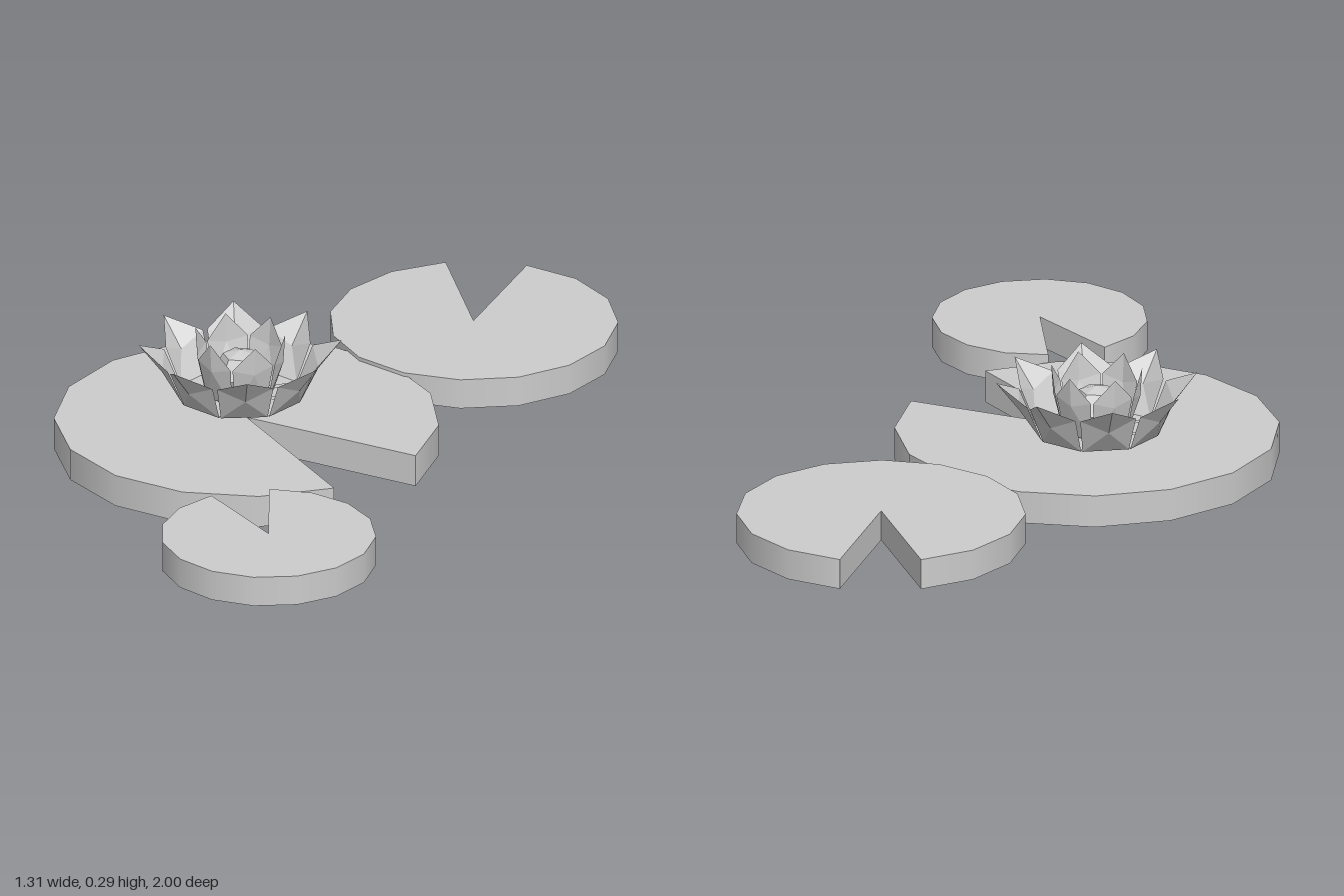
import * as THREE from 'three';

const grey = new THREE.MeshStandardMaterial({ color: 0xcccccc, side: THREE.DoubleSide });
grey.name = 'pale grey';

function mesh(name, geometry) {
  const m = new THREE.Mesh(geometry, grey);
  m.name = name;
  return m;
}

// Round floating leaf with a wedge cut out; start is the angle where the arc begins
function lilyPad(name, x, y, z, radius, height, startDeg, arcDeg) {
  const pad = new THREE.Group();
  pad.name = name;
  pad.position.set(x, y, z);
  const start = THREE.MathUtils.degToRad(startDeg);
  const arc = THREE.MathUtils.degToRad(arcDeg);
  const disc = mesh('leafDisc', new THREE.CylinderGeometry(radius, radius, height, 14, 1, false, start, arc));
  disc.position.y = height / 2;
  pad.add(disc);
  // Upright walls of the notch
  for (const angle of [start, start + arc]) {
    const wall = mesh('notchWall', new THREE.PlaneGeometry(radius, height));
    wall.position.set(Math.sin(angle) * radius / 2, height / 2, Math.cos(angle) * radius / 2);
    wall.rotation.y = angle - Math.PI / 2;
    pad.add(wall);
  }
  return pad;
}

// Cupped petal pointing along +z: root, base edge, shoulders, midrib and tip
function petalGeometry({ root, base, shoulder, rib, tip }) {
  const at = (p, side = 0) => [side * (p.half || 0), p.y, p.r];
  const faces = [];
  for (const s of [-1, 1]) {
    faces.push(
      at(root), at(base), at(base, s),
      at(base), at(rib), at(base, s),
      at(base, s), at(rib), at(shoulder, s),
      at(shoulder, s), at(rib), at(tip)
    );
  }
  const geometry = new THREE.BufferGeometry();
  geometry.setAttribute('position', new THREE.Float32BufferAttribute(faces.flat(), 3));
  geometry.computeVertexNormals();
  return geometry;
}

function petalRing(name, count, profile) {
  const ring = new THREE.Group();
  ring.name = name;
  const geometry = petalGeometry(profile);
  for (let i = 0; i < count; i++) {
    const petal = mesh('petal', geometry);
    petal.rotation.y = i * 2 * Math.PI / count;
    ring.add(petal);
  }
  return ring;
}

function lathe(points, sides) {
  return new THREE.LatheGeometry(points.map(([r, y]) => new THREE.Vector2(r, y)), sides);
}

export function createModel() {
  const model = new THREE.Group();
  model.name = 'waterLily';

  model.add(
    lilyPad('largePad', -0.165, 0, 0.185, 0.493, 0.085, 102.2, 325.9),
    lilyPad('backPad', -0.11, 0.015, -0.632, 0.37, 0.08, 232.2, 327.4),
    lilyPad('frontPad', 0.38, 0.025, 0.725, 0.276, 0.08, 252.9, 327.7)
  );

  const flower = new THREE.Group();
  flower.name = 'flower';
  flower.position.set(-0.235, 0, 0.13);

  // Short rounded stem under the petals
  flower.add(mesh('flowerBase', lathe([[0, 0.083], [0.035, 0.085], [0.055, 0.097], [0.07, 0.113]], 12)));

  flower.add(petalRing('outerPetals', 8, {
    root: { r: 0.03, y: 0.112 },
    base: { r: 0.15, y: 0.112, half: 0.06 },
    shoulder: { r: 0.19, y: 0.21, half: 0.072 },
    rib: { r: 0.2, y: 0.178 },
    tip: { r: 0.26, y: 0.255 }
  }));
  flower.add(petalRing('innerPetals', 6, {
    root: { r: 0.02, y: 0.115 },
    base: { r: 0.08, y: 0.116, half: 0.042 },
    shoulder: { r: 0.1, y: 0.225, half: 0.055 },
    rib: { r: 0.112, y: 0.21 },
    tip: { r: 0.117, y: 0.287 }
  }));

  // Closed faceted bud in the middle
  const bud = lathe([[0.045, 0.114], [0.073, 0.17], [0.045, 0.222], [0, 0.235]], 6).toNonIndexed();
  bud.computeVertexNormals();
  flower.add(mesh('bud', bud));

  model.add(flower);
  return model;
}
